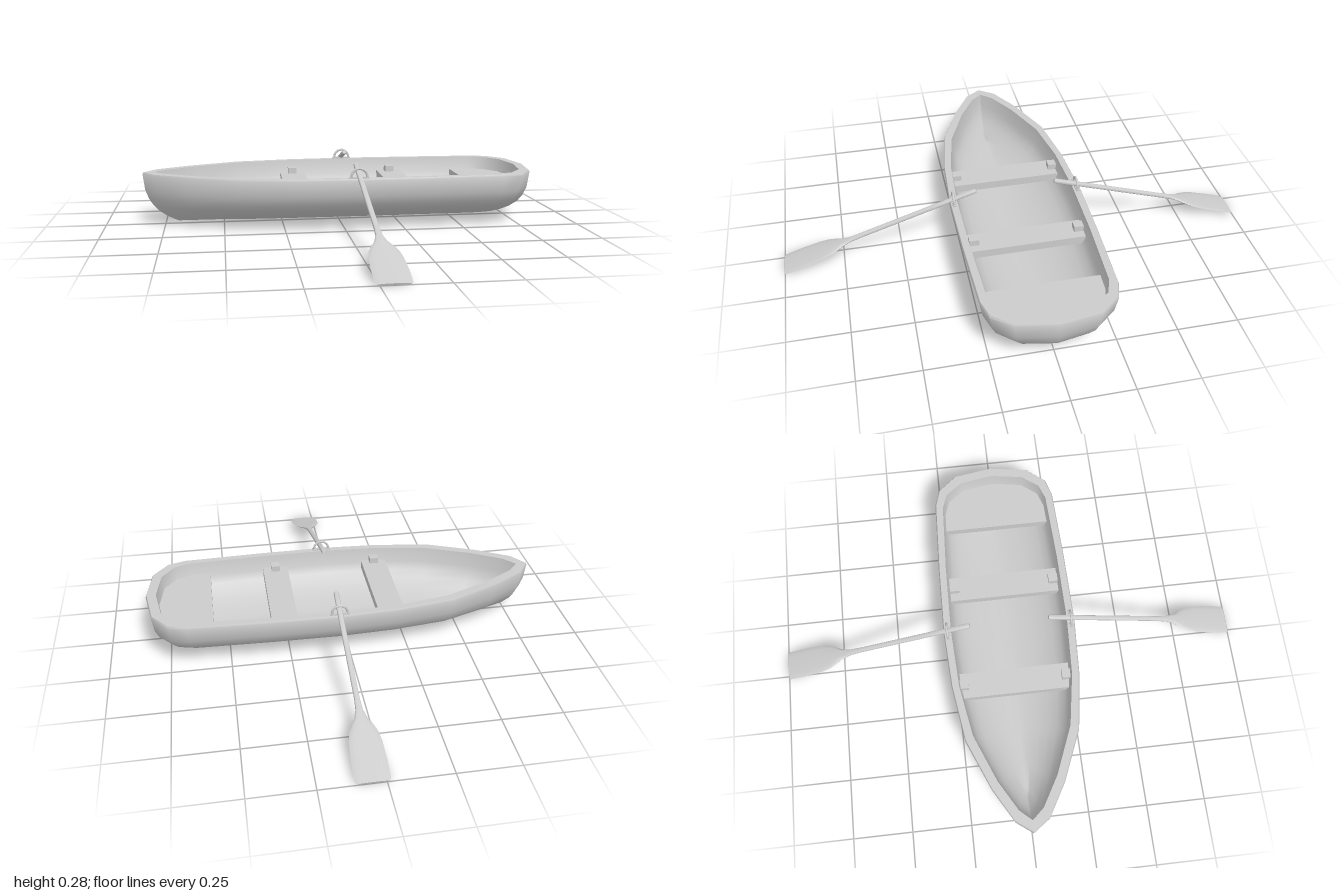
import * as THREE from 'three';
import { toCreasedNormals } from 'three/addons/utils/BufferGeometryUtils.js';

const material = new THREE.MeshStandardMaterial({ color: 0xcccccc });

function addMesh(parent, name, geometry, x = 0, y = 0, z = 0) {
  const mesh = new THREE.Mesh(geometry, material);
  mesh.name = name;
  mesh.position.set(x, y, z);
  parent.add(mesh);
  return mesh;
}

// Skin a sequence of closed rings, each with the same number of points
function loft(rings, crease) {
  const n = rings[0].length, index = [];
  for (let j = 0; j < rings.length - 1; j++) {
    for (let i = 0; i < n; i++) {
      const a = j * n + i, b = j * n + (i + 1) % n, c = b + n, d = a + n;
      index.push(a, d, b, b, d, c);
    }
  }
  const geometry = new THREE.BufferGeometry();
  geometry.setAttribute('position', new THREE.Float32BufferAttribute(rings.flat(2), 3));
  geometry.setIndex(index);
  return toCreasedNormals(geometry, crease);
}

// Plan outlines [x, half width] from bow to stern
const OUTER = [[-0.84, 0], [-0.79, 0.07], [-0.65, 0.15], [-0.44, 0.237], [-0.2, 0.272], [0.05, 0.285],
  [0.35, 0.28], [0.67, 0.268], [0.745, 0.245], [0.81, 0.165], [0.835, 0]];
const INNER = [[-0.79, 0], [-0.745, 0.05], [-0.62, 0.122], [-0.42, 0.203], [-0.2, 0.24], [0.05, 0.252],
  [0.35, 0.248], [0.65, 0.235], [0.715, 0.212], [0.77, 0.14], [0.792, 0]];

// Section levels [y, length scale, width scale] from gunwale to keel
const OUTER_LEVELS = [[0.218, 1, 1], [0.15, 0.99, 0.955], [0.112, 0.973, 0.89], [0.083, 0.952, 0.78],
  [0.055, 0.92, 0.59], [0.035, 0.885, 0.4], [0.018, 0.845, 0.17], [0.012, 0.825, 0]];
const INNER_LEVELS = [[0.226, 1, 1], [0.16, 0.988, 0.96], [0.125, 0.97, 0.89], [0.1, 0.95, 0.77],
  [0.075, 0.92, 0.59], [0.058, 0.885, 0.4], [0.044, 0.85, 0.17], [0.04, 0.83, 0]];

const mirrored = (half) => [...half, ...half.slice(1, -1).reverse().map(([x, z]) => [x, -z])];

function outlineRing(half, [y, sx, sz]) {
  return mirrored(half).map(([x, z]) => [x * sx, y, z * sz]);
}

function hullGeometry() {
  const rings = [
    ...INNER_LEVELS.map((level) => outlineRing(INNER, level)).reverse(),
    outlineRing(OUTER, [0.226, 0.995, 0.985]),
    ...OUTER_LEVELS.map((level) => outlineRing(OUTER, level)),
  ];
  return loft(rings, 0.9);
}

// Stern bench follows the inside of the hull
function sternSeatGeometry() {
  const half = [[0.56, 0.238], [0.65, 0.228], [0.71, 0.207], [0.765, 0.14], [0.785, 0]];
  const points = [...half, ...half.slice(0, -1).reverse().map(([x, z]) => [x, -z])];
  const shape = new THREE.Shape(points.map(([x, z]) => new THREE.Vector2(x, z)));
  const geometry = new THREE.ExtrudeGeometry(shape, { depth: 0.035, bevelEnabled: false });
  return geometry.rotateX(-Math.PI / 2);
}

// Round shaft that flattens into a wide blade: [distance, half width, half thickness]
function oarGeometry() {
  const sections = [[0, 0, 0], [0, 0.008, 0.008], [0.006, 0.011, 0.01], [0.09, 0.011, 0.01], [0.52, 0.011, 0.01],
    [0.57, 0.014, 0.009], [0.608, 0.025, 0.008], [0.638, 0.042, 0.007], [0.67, 0.055, 0.006],
    [0.71, 0.062, 0.005], [0.79, 0.066, 0.005], [0.862, 0.065, 0.004], [0.871, 0.06, 0.004], [0.871, 0, 0]];
  const sides = 16;
  const rings = sections.map(([s, w, t]) => Array.from({ length: sides }, (_, i) => {
    const a = -i / sides * Math.PI * 2;
    return [w * Math.cos(a), t * Math.sin(a), s];
  }));
  return loft(rings, 0.8);
}

export function createModel() {
  const boat = new THREE.Group();
  boat.name = 'rowingBoat';
  addMesh(boat, 'hull', hullGeometry());

  // Cross benches with a small knee block at each end
  for (const x of [-0.185, 0.267]) {
    const bench = new THREE.Group();
    bench.name = 'bench';
    bench.position.x = x;
    addMesh(bench, 'benchPlank', new THREE.BoxGeometry(0.11, 0.035, 0.48), 0, 0.152, 0);
    for (const side of [-1, 1]) {
      addMesh(bench, 'benchKnee', new THREE.BoxGeometry(0.038, 0.03, 0.04), 0, 0.18, side * 0.22);
    }
    boat.add(bench);
  }
  addMesh(boat, 'sternSeat', sternSeatGeometry(), 0, 0.135, 0);

  // Oar and oarlock on each side
  const oarShape = oarGeometry();
  for (const [name, turn] of [['frontOar', 0], ['backOar', Math.PI]]) {
    const group = new THREE.Group();
    group.name = name;
    group.position.x = 0.05;
    group.rotation.y = turn;
    const oar = addMesh(group, 'oar', oarShape, 0, 0.269, 0.17);
    oar.rotation.x = Math.atan2(0.265, 0.83);
    addMesh(group, 'oarlockRing', new THREE.TorusGeometry(0.032, 0.005, 8, 24), 0, 0.234, 0.268);
    addMesh(group, 'oarlockBase', new THREE.BoxGeometry(0.08, 0.008, 0.014), 0, 0.228, 0.268);
    boat.add(group);
  }
  return boat;
}
